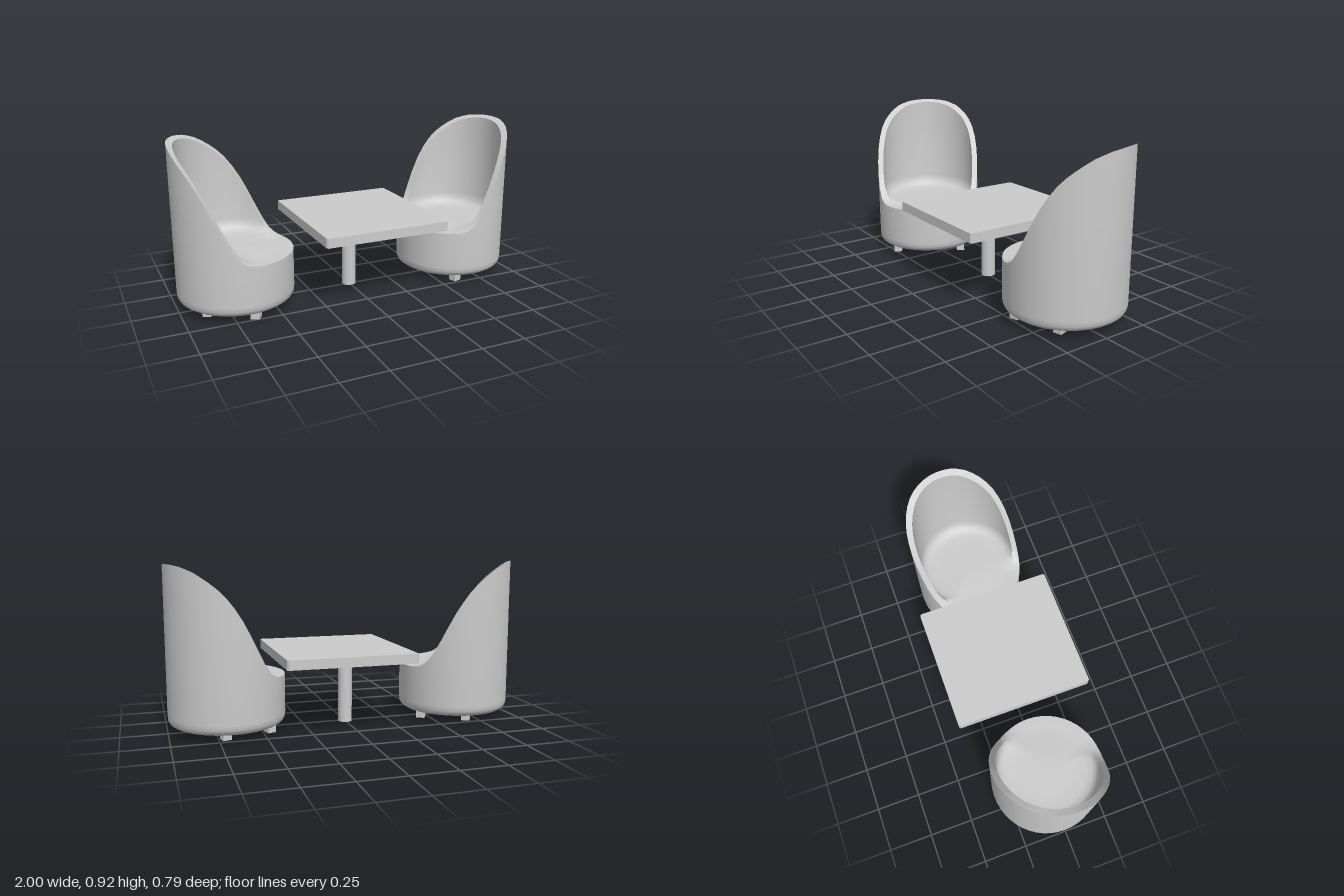
import * as THREE from 'three';
import { toCreasedNormals } from 'three/addons/utils/BufferGeometryUtils.js';

const material = new THREE.MeshStandardMaterial({ color: 0xcccccc });

function addMesh(parent, name, geometry, x = 0, y = 0, z = 0) {
  const mesh = new THREE.Mesh(geometry, material);
  mesh.name = name;
  mesh.position.set(x, y, z);
  parent.add(mesh);
  return mesh;
}

// Height of the swept rim, from the back (-z) to the front (+z) of a chair
const RIM = [[-0.32, 0.92], [-0.295, 0.91], [-0.25, 0.882], [-0.17, 0.812], [-0.105, 0.74], [-0.04, 0.635],
  [0.005, 0.55], [0.04, 0.48], [0.075, 0.415], [0.12, 0.352], [0.155, 0.327], [0.2, 0.317], [0.32, 0.315]];

function rimHeight(z) {
  for (let i = 1; i < RIM.length; i++) {
    const [z0, y0] = RIM[i - 1], [z1, y1] = RIM[i];
    if (z <= z1) return THREE.MathUtils.lerp(y0, y1, Math.max(0, (z - z0) / (z1 - z0)));
  }
  return RIM[RIM.length - 1][1];
}

// Section of the tub at one angle: base, outer wall, rim, inner wall, seat
function tubSection(angle) {
  const c = Math.cos(angle);
  const outer = rimHeight(0.32 * c), inner = rimHeight(0.287 * c);
  const cap = (y) => Math.min(y, inner);
  return [[0, 0.045], [0.265, 0.045], [0.29, 0.05], [0.309, 0.063], [0.318, 0.08], [0.32, 0.105],
    [0.32, outer], [0.287, inner], [0.285, cap(0.40)], [0.28, cap(0.37)], [0.268, cap(0.348)],
    [0.25, cap(0.335)], [0.22, cap(0.328)], [0.15, 0.326], [0, 0.326]];
}

function tubGeometry(segments = 48) {
  const positions = [], index = [];
  let rows = 0;
  for (let i = 0; i <= segments; i++) {
    const a = (i / segments) * Math.PI * 2;
    const section = tubSection(a);
    rows = section.length;
    for (const [r, y] of section) positions.push(r * Math.sin(a), y, r * Math.cos(a));
  }
  for (let i = 0; i < segments; i++) {
    for (let j = 0; j < rows - 1; j++) {
      const a = i * rows + j, b = a + rows;
      if (j > 0) index.push(a, b, b + 1);
      if (j < rows - 2) index.push(a, b + 1, a + 1);
      else continue;
    }
  }
  const geometry = new THREE.BufferGeometry();
  geometry.setAttribute('position', new THREE.Float32BufferAttribute(positions, 3));
  geometry.setIndex(index);
  return toCreasedNormals(geometry, 0.6);
}

// Tub chair facing +z, with four short square feet
function makeChair(name) {
  const chair = new THREE.Group();
  chair.name = name;
  addMesh(chair, 'tubShell', tubGeometry());
  const foot = new THREE.BoxGeometry(0.048, 0.04, 0.048);
  for (const sx of [-1, 1]) {
    for (const sz of [-1, 1]) addMesh(chair, 'foot', foot, sx * 0.2, 0.03, 0.03 + sz * 0.13);
  }
  return chair;
}

// Table top with tiny chamfered corners on a single round post
function makeTable() {
  const table = new THREE.Group();
  table.name = 'table';
  const w = 0.36, d = 0.3925, c = 0.008;
  const outline = new THREE.Shape([[w, d - c], [w - c, d], [c - w, d], [-w, d - c],
    [-w, c - d], [c - w, -d], [w - c, -d], [w, c - d]].map(([x, y]) => new THREE.Vector2(x, y)));
  const top = new THREE.ExtrudeGeometry(outline, { depth: 0.053, bevelEnabled: false });
  top.rotateX(-Math.PI / 2);
  addMesh(table, 'tableTop', top, 0.06, 0.388, -0.003);
  addMesh(table, 'tablePost', new THREE.CylinderGeometry(0.04, 0.04, 0.38, 32), 0, 0.19, -0.01);
  return table;
}

export function createModel() {
  const model = new THREE.Group();
  model.name = 'tableWithTubChairs';
  model.add(makeTable());
  // Both chairs face the table, turned a little to the front
  for (const [name, x, turn] of [['rightChair', -0.68, 59], ['leftChair', 0.68, -73]]) {
    const chair = makeChair(name);
    chair.position.set(x, 0, -0.01);
    chair.rotation.y = THREE.MathUtils.degToRad(turn);
    model.add(chair);
  }
  return model;
}
